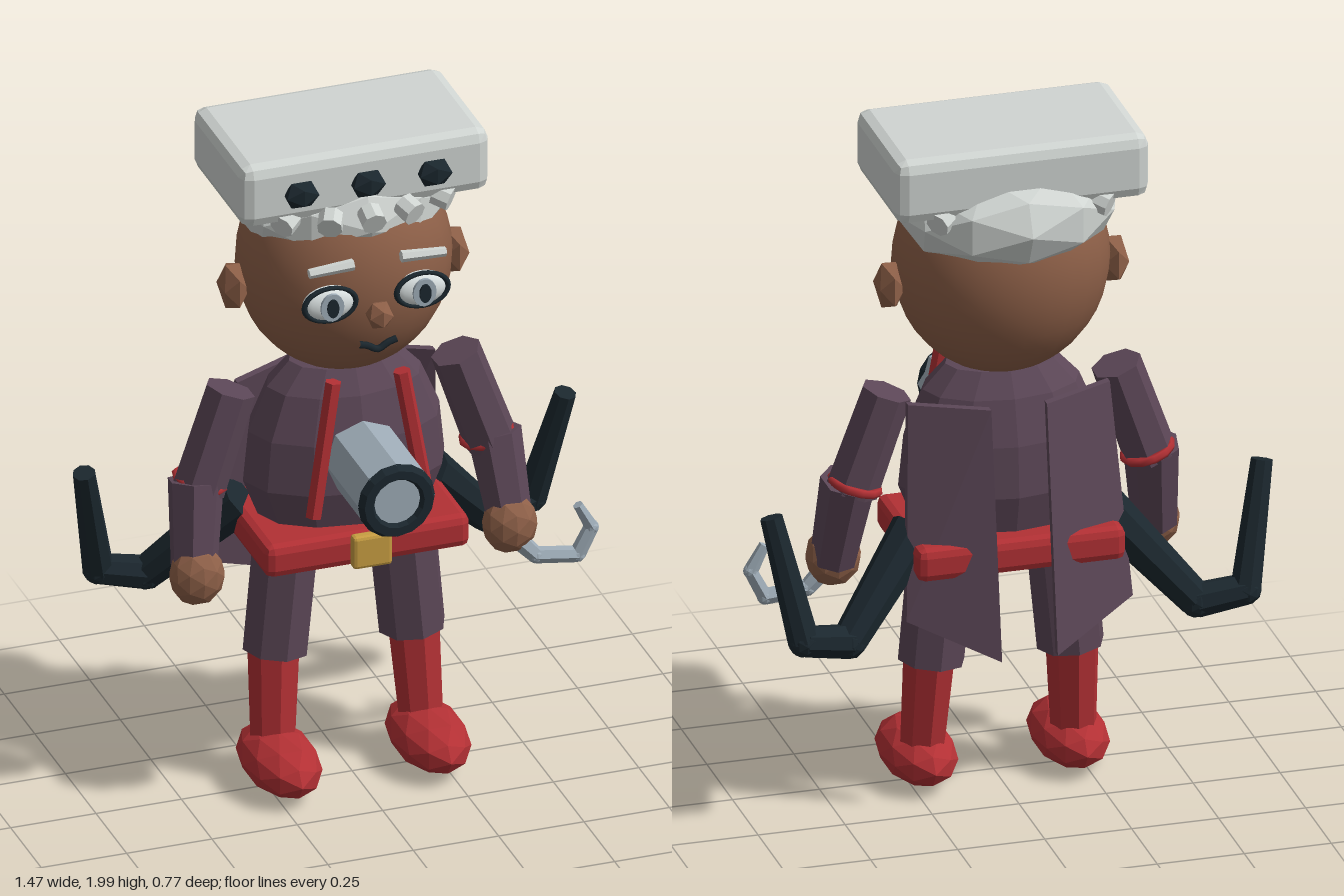
import * as THREE from 'three';
import { RoundedBoxGeometry } from 'three/addons/geometries/RoundedBoxGeometry.js';

const mat = (name, color) => {
  const m = new THREE.MeshStandardMaterial({ color });
  m.name = name;
  return m;
};

export function createModel() {
  const skin = mat('skin', 0x8e6048);
  const white = mat('hairAndHat', 0xd0d5d2);
  const cloth = mat('coatCloth', 0x5c4757);
  const red = mat('redLeather', 0xb23034);
  const dark = mat('darkRubber', 0x1b272e);
  const steel = mat('steel', 0x9eacb7);
  const gold = mat('gold', 0xc89e42);
  const eyeWhite = mat('eyeWhite', 0xdfe6e6);

  const model = new THREE.Group();
  const add = (name, geo, material, pos = [0, 0, 0], parent = model) => {
    const mesh = new THREE.Mesh(geo, material);
    mesh.name = name;
    mesh.position.set(...pos);
    parent.add(mesh);
    return mesh;
  };
  // Give every face its own normal for a faceted look
  const flat = (geo) => {
    const g = geo.index ? geo.toNonIndexed() : geo;
    g.computeVertexNormals();
    return g;
  };
  // Faceted ellipsoid
  const blob = (name, material, pos, size, detail = 1, parent = model) =>
    add(name, flat(new THREE.IcosahedronGeometry(1, detail).scale(...size)), material, pos, parent);
  // Tapered cylinder from point a to point b
  const limb = (name, material, a, b, ra, rb, sides = 8, parent = model) => {
    const p = new THREE.Vector3(...a), q = new THREE.Vector3(...b);
    const d = q.clone().sub(p);
    const mesh = add(name, flat(new THREE.CylinderGeometry(rb, ra, d.length(), sides)), material,
      p.clone().add(q).multiplyScalar(0.5).toArray(), parent);
    mesh.quaternion.setFromUnitVectors(new THREE.Vector3(0, 1, 0), d.normalize());
    return mesh;
  };
  // Jointed chain of tapered segments
  const chain = (name, material, pts, radii, sides) => {
    const group = new THREE.Group();
    group.name = name;
    model.add(group);
    for (let i = 0; i + 1 < pts.length; i++)
      limb(name + 'Segment', material, pts[i], pts[i + 1], radii[i], radii[i + 1], sides, group);
    for (let i = 1; i + 1 < pts.length; i++)
      blob(name + 'Joint', material, pts[i], [radii[i], radii[i], radii[i]], 1, group);
  };

  // Head, hair and face
  add('head', new THREE.SphereGeometry(1, 28, 20).scale(0.305, 0.33, 0.27), skin, [0, 1.585, -0.07]);
  blob('hair', white, [0, 1.77, -0.11], [0.32, 0.17, 0.28], 1);
  blob('nose', skin, [0, 1.54, 0.225], [0.04, 0.045, 0.04], 0);
  const lip = new THREE.CatmullRomCurve3([[-0.055, 0.013], [-0.03, 0.006], [0, -0.01], [0.03, 0.006], [0.055, 0.013]]
    .map(([x, y]) => new THREE.Vector3(x, y, 0)));
  add('mouth', new THREE.TubeGeometry(lip, 10, 0.01, 6), dark, [0, 1.437, 0.21]);

  // Hat with front studs and a ring of small knobs under the brim
  add('hat', flat(new RoundedBoxGeometry(0.73, 0.19, 0.425, 1, 0.035)), white, [0, 1.905, -0.09]);
  for (const x of [-0.195, 0, 0.195]) blob('hatStud', dark, [x, 1.902, 0.13], [0.055, 0.045, 0.033], 0);
  for (const [x, z] of [[0, 0.16], [0.115, 0.145], [-0.115, 0.145], [0.23, 0.1], [-0.23, 0.1], [0.23, -0.28], [-0.23, -0.28]]) {
    const out = new THREE.Vector3(x, -0.09, z + 0.09).normalize().multiplyScalar(0.025);
    limb('hatKnob', white, [x - out.x, 1.81 - out.y, z - out.z], [x + out.x, 1.81 + out.y, z + out.z], 0.036, 0.036, 8);
  }

  // Torso
  const profile = [[0.001, 0.72], [0.13, 0.72], [0.24, 0.79], [0.295, 0.93], [0.28, 1.08], [0.225, 1.21], [0.16, 1.28], [0.001, 1.29]]
    .map(([r, y]) => new THREE.Vector2(r, y));
  add('torso', flat(new THREE.LatheGeometry(profile, 12).scale(1, 1, 0.62)), cloth, [0, 0, -0.07]);

  // Belt and buckle
  add('belt', flat(new RoundedBoxGeometry(0.6, 0.1, 0.43, 1, 0.025)), red, [0, 0.77, -0.075]);
  add('buckle', flat(new RoundedBoxGeometry(0.115, 0.1, 0.036, 1, 0.01)), gold, [0, 0.777, 0.157]);

  // Chest device: steel barrel, dark rim and lens
  limb('barrel', steel, [0, 1.03, 0.08], [0, 1.03, 0.365], 0.112, 0.112, 8);
  add('barrelRim', flat(new THREE.TorusGeometry(0.088, 0.025, 6, 16)), dark, [0, 1.03, 0.362]);
  limb('lens', steel, [0, 1.03, 0.36], [0, 1.03, 0.369], 0.072, 0.072, 16);

  for (const s of [1, -1]) {
    // Eye with outline, iris and pupil
    const eye = new THREE.Group();
    eye.name = 'eye';
    eye.position.set(s * 0.135, 1.582, 0.185);
    model.add(eye);
    add('eyeball', new THREE.SphereGeometry(1, 16, 12).scale(0.078, 0.052, 0.03), eyeWhite, [0, 0, 0], eye);
    add('eyeOutline', new THREE.TorusGeometry(0.075, 0.009, 6, 24).scale(1, 0.68, 1), dark, [0, 0, 0.012], eye);
    [['iris', steel, 0.034, 0.042, 0.03], ['pupil', dark, 0.017, 0.028, 0.037]].forEach(([n, m, rx, ry, z]) =>
      add(n, new THREE.CylinderGeometry(1, 1, 0.009, 16).rotateX(Math.PI / 2).scale(rx, ry, 1), m, [0, 0, z], eye));
    limb('eyebrow', white, [s * 0.07, 1.7, 0.205], [s * 0.2, 1.693, 0.205], 0.017, 0.014, 6);
    blob('ear', skin, [s * 0.322, 1.54, -0.075], [0.042, 0.078, 0.068], 0);

    // Suspender
    limb('suspender', red, [s * 0.1, 1.3, 0.125], [s * 0.165, 0.9, 0.145], 0.024, 0.024, 6);

    // Arm, cuff and hand
    limb('upperArm', cloth, [s * 0.33, 1.22, -0.075], [s * 0.43, 0.93, -0.065], 0.072, 0.077, 7);
    limb('lowerArm', cloth, [s * 0.435, 0.96, -0.065], [s * 0.462, 0.7, -0.005], 0.08, 0.065, 7);
    const cuff = add('elbowCuff', new THREE.TorusGeometry(0.068, 0.013, 6, 12).rotateX(Math.PI / 2), red, [s * 0.42, 0.95, -0.075]);
    cuff.rotation.z = s * 0.3;
    blob('hand', skin, [s * 0.458, 0.705, 0.01], [0.08, 0.09, 0.068], 1);

    // Leg, boot and foot
    limb('trouserLeg', cloth, [s * 0.165, 0.77, -0.07], [s * 0.2, 0.395, -0.07], 0.098, 0.096, 8);
    limb('bootShaft', red, [s * 0.205, 0.41, -0.07], [s * 0.218, 0.1, -0.04], 0.076, 0.064, 8);
    blob('bootFoot', red, [s * 0.218, 0.09, 0.012], [0.107, 0.082, 0.192], 1);

    // Coat tail: a thin slab wrapped around the side of the back
    const tail = new THREE.BoxGeometry(1, 1, 1);
    const p = tail.attributes.position;
    for (let i = 0; i < p.count; i++) {
      const outer = p.getX(i) * s > 0, top = p.getY(i) > 0;
      const x = outer ? (top ? 0.29 : 0.325) : 0.08;
      const y = top ? 1.205 : (outer ? 0.6 : 0.49);
      const z = (top ? -0.24 : -0.345) + (outer ? 0.1 : 0) + p.getZ(i) * 0.024;
      p.setXYZ(i, s * x, y, z);
    }
    add('coatTail', flat(tail), cloth);

    // Curved dark arm growing from behind the hip
    chain('backArm', dark,
      [[s * 0.27, 0.83, -0.15], [s * 0.5, 0.575, -0.285], [s * 0.635, 0.6, -0.305], [s * 0.705, 0.95, -0.225]],
      [0.068, 0.05, 0.045, 0.032], 8);
  }

  // Hook held in the left hand
  chain('hook', steel,
    [[0.475, 0.66, 0.03], [0.525, 0.605, 0.035], [0.645, 0.59, 0.042], [0.685, 0.67, 0.045], [0.645, 0.745, 0.045]],
    [0.028, 0.024, 0.023, 0.021, 0.015], 6);

  return model;
}
